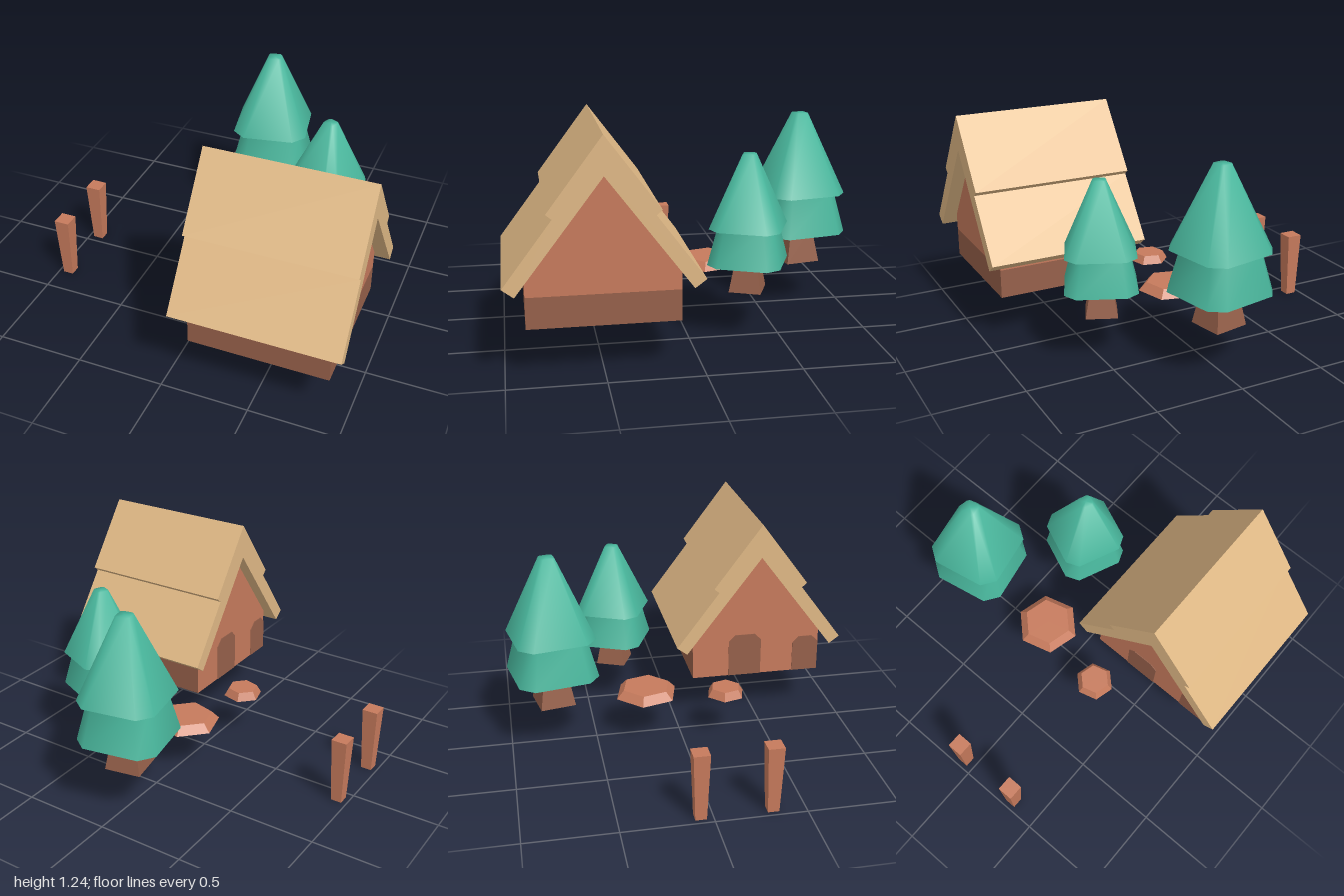
import * as THREE from 'three';
import { toCreasedNormals } from 'three/addons/utils/BufferGeometryUtils.js';

const GROUND = 0.265;

export function createModel() {
  const model = new THREE.Group();
  const mat = (name, color) => {
    const m = new THREE.MeshStandardMaterial({ color, side: THREE.DoubleSide });
    m.name = name;
    return m;
  };
  const straw = mat('straw', 0xdfb885);
  const clay = mat('clay', 0xc67a5c);
  const bark = mat('darkWood', 0x96604a);
  const leaf = mat('leafGreen', 0x48b59b);

  const add = (parent, name, geometry, material, x = 0, y = 0, z = 0) => {
    const mesh = new THREE.Mesh(geometry, material);
    mesh.name = name;
    mesh.position.set(x, y, z);
    parent.add(mesh);
    return mesh;
  };
  const shapeOf = pts => new THREE.Shape(pts.map(p => new THREE.Vector2(...p)));

  // Solid between two rings with the same corner count, capped at both ends
  function frustum(bottom, top, y0, y1, crease) {
    const n = bottom.length, pos = [];
    const tri = (...ps) => ps.forEach(p => pos.push(...p));
    const b = bottom.map(([x, z]) => [x, y0, z]);
    const t = top.map(([x, z]) => [x, y1, z]);
    for (let i = 0; i < n; i++) {
      const j = (i + 1) % n;
      tri(b[i], t[i], b[j]);
      tri(b[j], t[i], t[j]);
      tri([0, y1, 0], t[j], t[i]);
      tri([0, y0, 0], b[i], b[j]);
    }
    const g = new THREE.BufferGeometry();
    g.setAttribute('position', new THREE.Float32BufferAttribute(pos, 3));
    return toCreasedNormals(g, crease);
  }
  const square = a => [[a, a], [-a, a], [-a, -a], [a, -a]];
  const octagon = s => [
    [0.231, 0.158], [0.158, 0.231], [-0.158, 0.231], [-0.231, 0.158],
    [-0.231, -0.158], [-0.158, -0.231], [0.158, -0.231], [0.231, -0.158],
  ].map(([x, z]) => [x * s, z * s]);

  // House, with open underside
  const house = new THREE.Group();
  house.name = 'house';
  model.add(house);

  // Roof: two stepped layers in one profile, mirrored about the ridge
  const half = [[0.28, 0.865], [0.25, 0.84], [0.5, 0.505], [0.44, 0.46]];
  const roofShape = shapeOf([
    [0, 1.24], ...half, [0, 1.04],
    ...half.slice().reverse().map(([d, y]) => [-d, y]),
  ]);
  const roofGeo = new THREE.ExtrudeGeometry(roofShape, { depth: 0.93, bevelEnabled: false });
  add(house, 'roof', roofGeo, straw, 0.05, 0, 0.5).rotation.y = Math.PI / 2;

  const BAND = 0.43, EAVE = 0.527, W = 0.39;
  // Long walls with a dark lower band
  for (const side of [1, -1]) {
    for (const [name, y0, y1, m] of [['wallBase', GROUND, BAND, bark], ['wallTop', BAND, EAVE, clay]]) {
      const wall = add(house, name, new THREE.PlaneGeometry(0.78, y1 - y0), m, 0.51, (y0 + y1) / 2, 0.5 + side * W);
      if (side < 0) wall.rotation.y = Math.PI;
    }
  }

  // Gable walls
  const gable = (name, x, y0, y1, peak, m, dir) => {
    const pts = [[-W, y0], [W, y0], [W, y1]];
    if (peak) pts.push([0, peak]);
    pts.push([-W, y1]);
    add(house, name, new THREE.ShapeGeometry(shapeOf(pts)), m, x, 0, 0.5).rotation.y = dir * Math.PI / 2;
  };
  gable('leftGableBase', 0.9, GROUND, BAND, 0, bark, 1);
  gable('leftGable', 0.9, BAND, EAVE, 1.04, clay, 1);
  gable('rightGable', 0.12, GROUND, EAVE, 1.04, clay, -1);

  // Dark wood panels on the entrance gable
  for (const [z0, z1, top] of [[0.33, 0.53, 0.53], [0.73, 0.89, 0.49]]) {
    const c = 0.04;
    const panel = shapeOf([
      [z0, GROUND], [z1, GROUND], [z1, top - c], [z1 - c, top], [z0 + c, top], [z0, top - c],
    ]);
    const g = new THREE.ExtrudeGeometry(panel, { depth: 0.008, bevelEnabled: false });
    add(house, 'entrancePanel', g, bark, 0.124).rotation.y = -Math.PI / 2;
  }

  // Two-tier trees on square flared trunks
  const trees = [[-0.007, -0.742, 1, 0.19], [0.485, -0.325, 0.855, -0.41]];
  for (const [x, z, s, turn] of trees) {
    const tree = new THREE.Group();
    tree.name = 'tree';
    tree.position.set(x, GROUND, z);
    tree.scale.setScalar(s);
    tree.rotation.y = turn;
    model.add(tree);
    add(tree, 'trunk', frustum(square(0.102), square(0.068), 0, 0.2, 0.5), bark);
    add(tree, 'lowerFoliage', frustum(octagon(1), octagon(0.76), 0.19, 0.425, 1.2), leaf);
    add(tree, 'upperFoliage', frustum(octagon(0.97), octagon(0.17), 0.422, 0.885, 1.2), leaf);
  }

  // Hexagonal stepping stones, hollow underneath
  for (const [x, z, r] of [[-0.013, -0.2, 0.188], [-0.11, 0.258, 0.115]]) {
    const profile = [[r, 0], [r * 0.76, 0.047], [0, 0.047]].map(p => new THREE.Vector2(...p));
    const g = toCreasedNormals(new THREE.LatheGeometry(profile, 6), 0.2);
    add(model, 'steppingStone', g, clay, x, GROUND, z).rotation.y = 0.27;
  }

  // Tapered posts
  for (const z of [0.32, -0.07]) {
    add(model, 'post', frustum(square(0.031), square(0.045), 0, 0.39, 0.5), clay, -0.94, 0, z);
  }

  return model;
}
